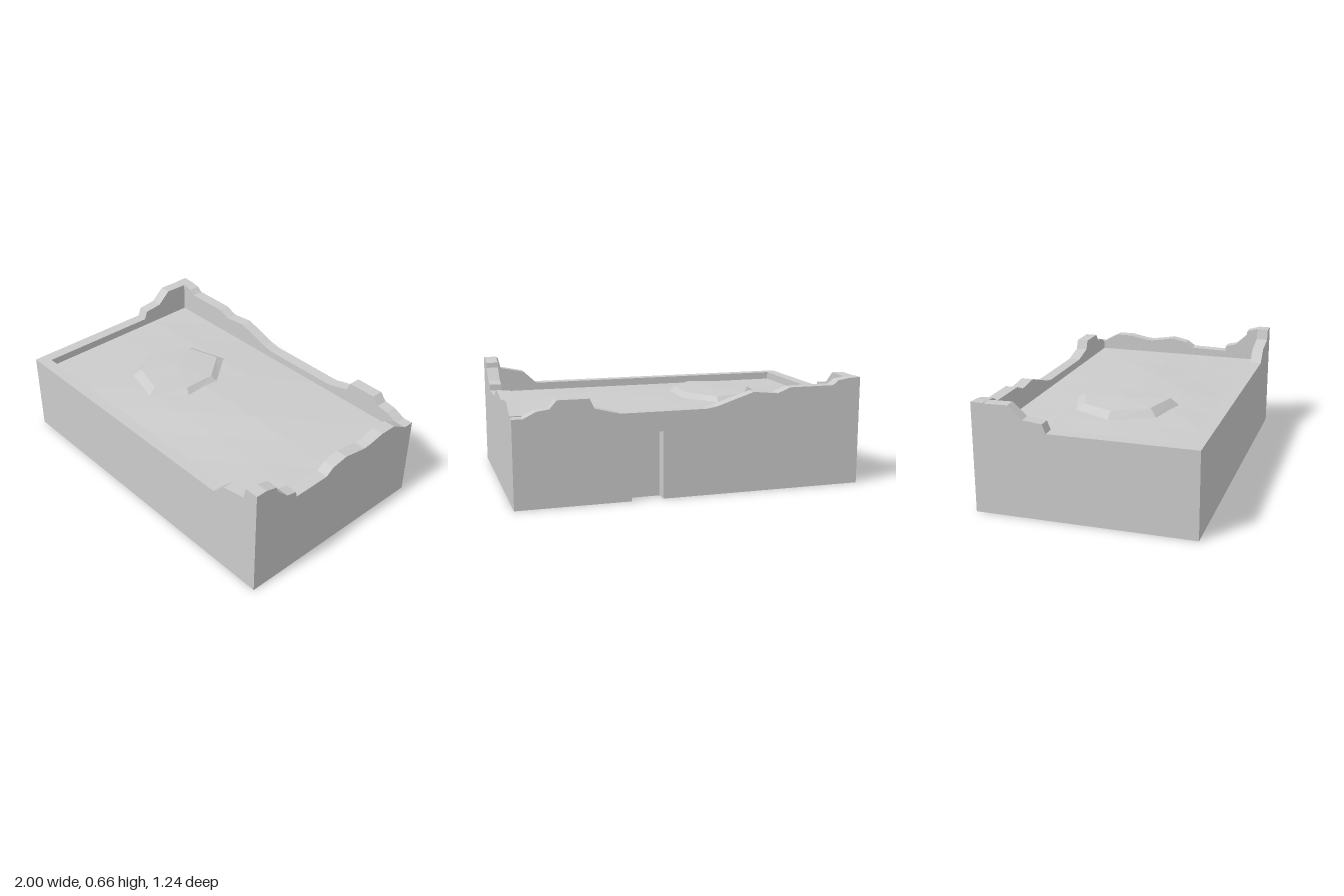
import * as THREE from 'three';

const HALF_X = 1, HALF_Z = 0.62, THICK = 0.07;
const IN_X = HALF_X - THICK, IN_Z = HALF_Z - THICK;

export function createModel() {
  const group = new THREE.Group();
  const material = new THREE.MeshStandardMaterial({ color: 0xcccccc, flatShading: true });

  const add = (name, geometry) => {
    const mesh = new THREE.Mesh(geometry, material);
    mesh.name = name;
    group.add(mesh);
    return mesh;
  };

  // Wall slab: broken top edge given left to right, optional notch points along the bottom
  const wallGeometry = (top, notch = []) => {
    const first = top[0], last = top[top.length - 1];
    const outline = [[first[0], 0], ...notch, [last[0], 0], ...[...top].reverse()];
    const shape = new THREE.Shape(outline.map(([u, y]) => new THREE.Vector2(u, y)));
    return new THREE.ExtrudeGeometry(shape, { depth: THICK, bevelEnabled: false });
  };

  // Front and back walls run the full width
  add('frontWall', wallGeometry([
    [-1, 0.49], [0.68, 0.49], [0.76, 0.565], [0.905, 0.595], [0.92, 0.66], [1, 0.66],
  ])).position.z = IN_Z;

  const doorway = [[0.18, 0], [0.18, 0.38], [0.36, 0.38], [0.36, 0]];
  add('backWall', wallGeometry([
    [-1, 0.625], [-0.93, 0.622], [-0.865, 0.612], [-0.83, 0.585], [-0.565, 0.585], [-0.49, 0.555],
    [-0.345, 0.57], [-0.13, 0.5], [-0.07, 0.49], [0.42, 0.49], [0.56, 0.525], [0.585, 0.58],
    [0.76, 0.58], [0.8, 0.535], [0.87, 0.525], [0.94, 0.49], [1, 0.49],
  ], doorway)).position.z = -HALF_Z;

  // Side walls fit between them; profiles are [z, height] from front to back
  const sideWall = (name, x, profile) => {
    const geometry = wallGeometry(profile.map(([z, y]) => [-z, y]));
    geometry.rotateY(Math.PI / 2);
    add(name, geometry).position.x = x;
  };
  sideWall('leftWall', IN_X, [
    [0.55, 0.66], [0.48, 0.64], [0.475, 0.61], [0.4, 0.54], [0.335, 0.525], [0.33, 0.49],
    [0.1, 0.495], [0.05, 0.53], [-0.05, 0.55], [-0.2, 0.525], [-0.25, 0.53],
    [-0.35, 0.55], [-0.45, 0.55], [-0.55, 0.495],
  ]);
  sideWall('rightWall', -HALF_X, [
    [0.55, 0.49], [-0.2, 0.49], [-0.22, 0.54], [-0.33, 0.553], [-0.41, 0.625], [-0.55, 0.622],
  ]);

  // Solid core closes the underside and backs the doorway
  const core = new THREE.BoxGeometry(IN_X * 2, 0.42, IN_Z * 2);
  add('core', core).position.y = 0.21;

  // Uneven floor: a low swell, higher in the middle
  const floor = new THREE.PlaneGeometry(IN_X * 2, IN_Z * 2, 6, 4).rotateX(-Math.PI / 2);
  const p = floor.attributes.position;
  for (let i = 0; i < p.count; i++) {
    const x = p.getX(i), z = p.getZ(i);
    const swell = Math.cos(x / IN_X * Math.PI / 2) * Math.cos(z / IN_Z * Math.PI / 2);
    p.setY(i, 0.445 + 0.025 * swell + 0.004 * Math.sin(5 * x + 7 * z) * swell);
  }
  add('rubbleFloor', floor);

  // Rubble mound: outer ring, top rim and a shallow peak
  const rim = [[-0.61, 0], [-0.49, 0.245], [-0.24, 0.315], [-0.075, 0.14],
    [-0.08, -0.1], [-0.25, -0.31], [-0.49, -0.235]];
  const cx = -0.32, cz = 0.02;
  const ring = (scale, y) => rim.map(([x, z]) =>
    [cx + (x - cx) * scale, y + (y > 0.47 ? 0.025 * (z - cz) : 0), cz + (z - cz) * scale]);
  const outer = ring(1, 0.455), inner = ring(0.82, 0.495), peak = [cx, 0.505, cz];
  const corners = [];
  rim.forEach((_, i) => {
    const j = (i + 1) % rim.length;
    corners.push(...outer[i], ...outer[j], ...inner[j]);
    corners.push(...outer[i], ...inner[j], ...inner[i]);
    corners.push(...inner[i], ...inner[j], ...peak);
  });
  const mound = new THREE.BufferGeometry();
  mound.setAttribute('position', new THREE.Float32BufferAttribute(corners, 3));
  mound.computeVertexNormals();
  add('rubbleMound', mound);

  return group;
}
